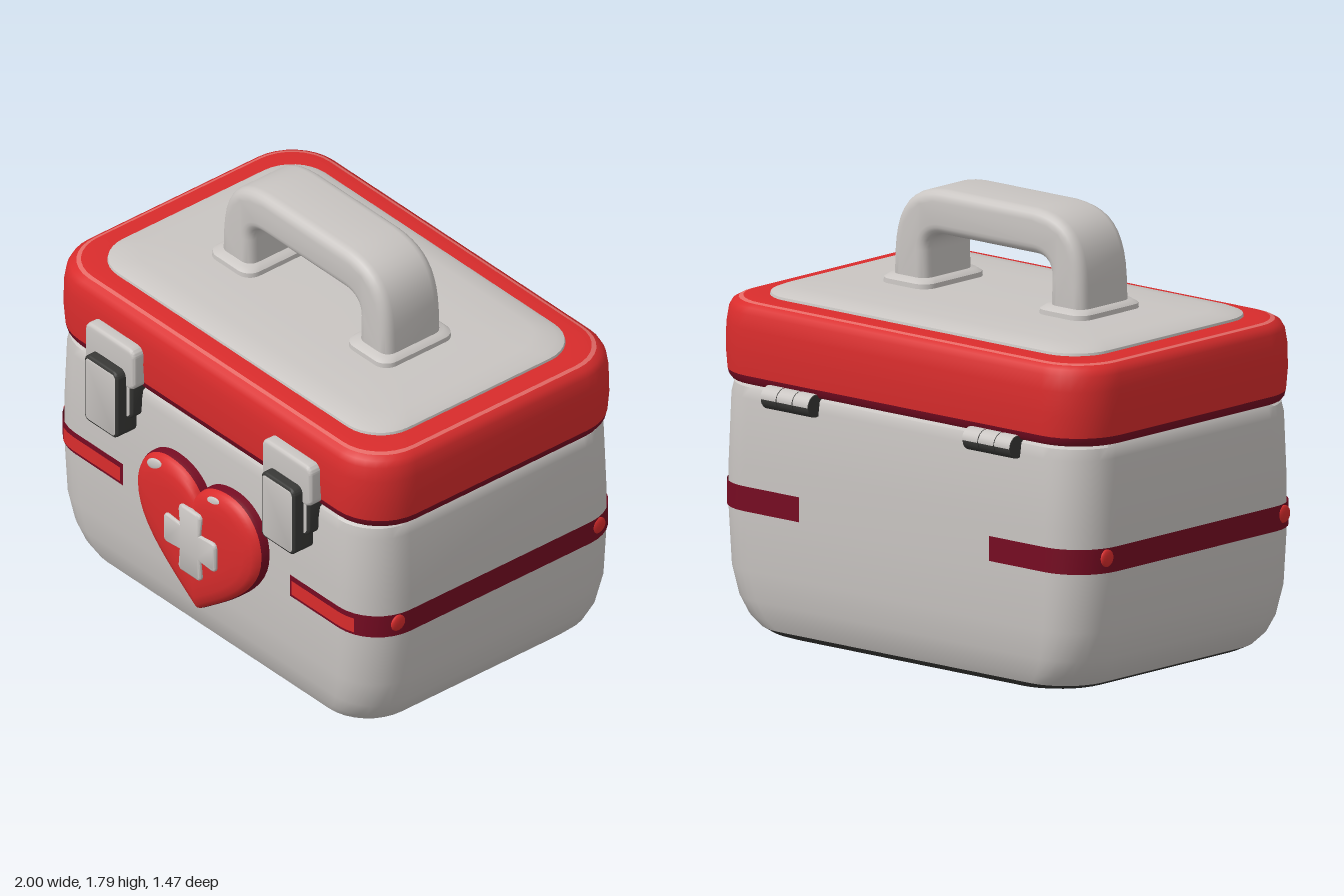
import * as THREE from 'three';
import { toCreasedNormals } from 'three/addons/utils/BufferGeometryUtils.js';

const mat = (name, color) => {
  const m = new THREE.MeshStandardMaterial({ color, side: THREE.DoubleSide });
  m.name = name;
  return m;
};

// Rounded rectangle in plan, counter-clockwise seen from above
function ring(y, w, d, r, xc = 0, zc = 0) {
  const pts = [];
  for (let k = 0; k < 4; k++) {
    const sx = k === 0 || k === 3 ? 1 : -1, sz = k < 2 ? 1 : -1;
    for (let i = 0; i <= 8; i++) {
      const a = (k + i / 8) * Math.PI / 2;
      pts.push(new THREE.Vector3(
        xc + sx * (w - r) + r * Math.cos(a), y, zc - sz * (d - r) - r * Math.sin(a)));
    }
  }
  return pts;
}

// Skin over a list of rings, with optional end caps
function loft(rings, { closed = true, start = false, end = false, crease = 0.7 } = {}) {
  const n = rings[0].length, pos = [], idx = [];
  rings.forEach(r => r.forEach(p => pos.push(p.x, p.y, p.z)));
  const at = (i, j) => i * n + (j % n);
  for (let i = 0; i < rings.length - 1; i++)
    for (let j = 0; j < (closed ? n : n - 1); j++) {
      const a = at(i, j), b = at(i, j + 1), c = at(i + 1, j + 1), d = at(i + 1, j);
      idx.push(a, b, c, a, c, d);
    }
  const cap = (row, flip) => {
    const c = new THREE.Vector3();
    rings[row].forEach(p => c.addScaledVector(p, 1 / n));
    const m = pos.length / 3;
    pos.push(c.x, c.y, c.z);
    for (let j = 0; j < n; j++)
      idx.push(...(flip ? [at(row, j + 1), at(row, j), m] : [at(row, j), at(row, j + 1), m]));
  };
  if (start) cap(0, true);
  if (end) cap(rings.length - 1, false);
  const g = new THREE.BufferGeometry();
  g.setAttribute('position', new THREE.Float32BufferAttribute(pos, 3));
  g.setIndex(idx);
  return toCreasedNormals(g, crease);
}

// Bevelled slab whose outer size equals the shape
function slab(shape, depth, bevel, segs = 3) {
  const g = new THREE.ExtrudeGeometry(shape, {
    depth: depth - 2 * bevel, bevelSize: bevel, bevelThickness: bevel,
    bevelOffset: -bevel, bevelSegments: segs, curveSegments: 10 });
  g.translate(0, 0, bevel);
  return toCreasedNormals(g, 0.8);
}

function roundRect(w, h, r) {
  const s = new THREE.Shape(), q = Math.PI / 2;
  [[1, 1, 0], [-1, 1, 1], [-1, -1, 2], [1, -1, 3]].forEach(([x, y, k]) =>
    s.absarc(x * (w / 2 - r), y * (h / 2 - r), r, k * q, (k + 1) * q));
  return s;
}

export function createModel() {
  const light = mat('light grey', 0xc9c5c2), red = mat('red', 0xd92c2c);
  const darkRed = mat('dark red', 0x760b22), dark = mat('dark grey', 0x383836);
  const pink = mat('edge pink', 0xe46a66);
  const group = new THREE.Group();
  const add = (name, geo, material, x = 0, y = 0, z = 0) => {
    const m = new THREE.Mesh(geo, material);
    m.name = name;
    m.position.set(x, y, z);
    group.add(m);
    return m;
  };

  // Body, rows of [y, inset in x, inset in z]
  const bodyRing = ([y, ix, iz]) => ring(y, 0.985 - ix, 0.658 - iz, 0.2, 0, -0.02);
  add('bodyBase', loft([[0.005, 0.3, 0.2], [0.015, 0.2, 0.1], [0.025, 0.16, 0.075],
    [0.045, 0.12, 0.055]].map(bodyRing), { start: true }), dark);
  add('body', loft([[0.045, 0.12, 0.055], [0.09, 0.075, 0.035], [0.16, 0.04, 0.018],
    [0.28, 0.012, 0.005], [0.5, 0, 0], [0.7, 0, 0], [0.97, 0.01, 0.005],
    [1.015, 0.018, 0.012], [1.04, 0.045, 0.04]].map(bodyRing), { end: true }), light);

  // Lid, rows of [y, inset]
  const lidRing = ([y, i]) => ring(y, 1 - i, 0.666 - i, 0.22 - i * 0.5, 0, -0.025);
  const lidPart = (name, rows, m, opt) => add(name, loft(rows.map(lidRing), opt), m);
  lidPart('lidLowerEdge', [[1.03, 0.06], [1.03, 0.02], [1.045, 0.01], [1.065, 0.006]], darkRed,
    { start: true });
  lidPart('lid', [[1.065, 0.006], [1.15, 0], [1.25, 0.002], [1.31, 0.01], [1.335, 0.022],
    [1.348, 0.042]], red);
  lidPart('lidEdgeHighlight', [[1.348, 0.042], [1.353, 0.057]], pink);
  lidPart('lidRim', [[1.353, 0.057], [1.358, 0.09], [1.358, 0.15]], red, { end: true });
  add('topPanel', loft([[1.35, 0], [1.368, 0.004], [1.38, 0.03], [1.39, 0.1], [1.396, 0.25]]
    .map(([y, i]) => ring(y, 0.86 - i, 0.536 - i, 0.17 - i * 0.3, 0, -0.025)), { end: true }), light);

  // Handle arch
  const arch = new THREE.Shape();
  arch.moveTo(0.505, 1.37);
  arch.lineTo(0.5, 1.52);
  arch.bezierCurveTo(0.49, 1.71, 0.41, 1.79, 0.24, 1.797);
  arch.lineTo(-0.24, 1.797);
  arch.bezierCurveTo(-0.41, 1.79, -0.49, 1.71, -0.5, 1.52);
  arch.lineTo(-0.505, 1.37);
  arch.lineTo(-0.32, 1.37);
  arch.lineTo(-0.325, 1.54);
  arch.quadraticCurveTo(-0.325, 1.615, -0.24, 1.615);
  arch.lineTo(0.24, 1.615);
  arch.quadraticCurveTo(0.325, 1.615, 0.325, 1.54);
  arch.lineTo(0.32, 1.37);
  add('handle', slab(arch, 0.295, 0.045, 5), light, 0, 0, -0.147);

  for (const s of [1, -1]) {
    const side = s > 0 ? 'left' : 'right';

    // Handle foot
    add(side + 'HandleFoot', loft([[1.37, -0.02], [1.39, 0], [1.415, 0.002], [1.43, 0.02]]
      .map(([y, i]) => ring(y, 0.127 - i, 0.187 - i, 0.06, s * 0.41)), { end: true }), light);

    // Latch: keeper, lower plate and hasp
    const lx = s * 0.53;
    add(side + 'LatchKeeper', slab(roundRect(0.295, 0.19, 0.035), 0.08, 0.015), light, lx, 1.135, 0.61);
    add(side + 'LatchPlate', slab(roundRect(0.26, 0.22, 0.04), 0.08, 0.012), [light, dark], lx, 1.0, 0.605);
    add(side + 'LatchHasp', slab(roundRect(0.2, 0.31, 0.03), 0.11, 0.012), [light, dark], lx, 0.965, 0.625);

    // Hinge knuckles, light on top
    for (const k of [-1, 0, 1]) {
      const x = lx + k * 0.084;
      add(side + 'HingeKnuckle', new THREE.CylinderGeometry(0.045, 0.045, 0.08, 16)
        .rotateZ(Math.PI / 2), dark, x, 1.0, -0.69);
      add(side + 'HingeTop', new THREE.CylinderGeometry(0.048, 0.048, 0.08, 12, 1, true, 0, Math.PI)
        .rotateZ(Math.PI / 2), light, x, 1.0, -0.69);
    }

    // Stripe wrapping the side, with bright inserts
    const path = (y, out) => {
      const r = ring(y, 0.985 + out, 0.658 + out, 0.2, 0, -0.02);
      const zf = r[27].z, zb = r[8].z;
      const p = [new THREE.Vector3(0.5, y, zf), ...r.slice(27), ...r.slice(0, 9),
        new THREE.Vector3(0.5, y, zb)];
      p.forEach(v => { v.x *= s; });
      return s > 0 ? p : p.reverse();
    };
    const open = { closed: false };
    add(side + 'Stripe', loft([path(0.52, 0.005), path(0.62, 0.005)], open), darkRed);
    const front = y => path(y, 0.01).filter(v => v.z > 0 && Math.abs(v.x) < 0.88)
      .map(v => (Math.abs(v.x) < 0.51 ? v.setX(s * 0.515) : v));
    add(side + 'StripeInsert', loft([front(0.535), front(0.6)], open), red);
    for (const z of [0.5, -0.53])
      add(side + 'StripeDot', new THREE.SphereGeometry(1, 16, 10).scale(0.012, 0.036, 0.036),
        red, s * 0.982, 0.58, z);
  }

  // Heart badge, domed by shrinking its outline
  const heart = new THREE.Shape();
  heart.moveTo(0, 0.765);
  heart.bezierCurveTo(-0.04, 0.82, -0.11, 0.845, -0.19, 0.842);
  heart.bezierCurveTo(-0.3, 0.835, -0.372, 0.75, -0.372, 0.64);
  heart.bezierCurveTo(-0.372, 0.47, -0.18, 0.34, 0, 0.21);
  heart.bezierCurveTo(0.18, 0.34, 0.372, 0.47, 0.372, 0.64);
  heart.bezierCurveTo(0.372, 0.75, 0.3, 0.835, 0.19, 0.842);
  heart.bezierCurveTo(0.11, 0.845, 0.04, 0.82, 0, 0.765);
  const outline = heart.getPoints(12).slice(0, -1);
  const heartRing = ([k, z]) => outline.map(p =>
    new THREE.Vector3(p.x * k, 0.56 + (p.y - 0.56) * k, z));
  add('heartBase', loft([[1, 0.61], [1, 0.66], [0.985, 0.675]].map(heartRing)), darkRed);
  add('heart', loft([[0.985, 0.675], [0.96, 0.69], [0.91, 0.703], [0.8, 0.713], [0.6, 0.719],
    [0.3, 0.722]].map(heartRing), { end: true }), red);
  for (const x of [-0.24, 0.11])
    add('heartHighlight', new THREE.SphereGeometry(1, 16, 10).scale(0.048, 0.025, 0.009)
      .rotateZ(0.4), light, x, 0.785, 0.704);

  // Cross on the heart
  const cross = new THREE.Shape();
  const a = 0.06, b = 0.155, f = 0.067, c = 0.025;
  for (let k = 0; k < 4; k++) {
    const q = (x, y) => {
      const v = new THREE.Vector2(x, y).rotateAround(new THREE.Vector2(), k * Math.PI / 2);
      return [v.x, v.y];
    };
    if (k === 0) cross.moveTo(...q(a, -a));
    cross.lineTo(...q(b - c, -f));
    cross.quadraticCurveTo(...q(b, -f), ...q(b, -f + c));
    cross.lineTo(...q(b, f - c));
    cross.quadraticCurveTo(...q(b, f), ...q(b - c, f));
    cross.lineTo(...q(a, a));
  }
  add('cross', slab(cross, 0.04, 0.01), light, 0, 0.55, 0.695);

  return group;
}
